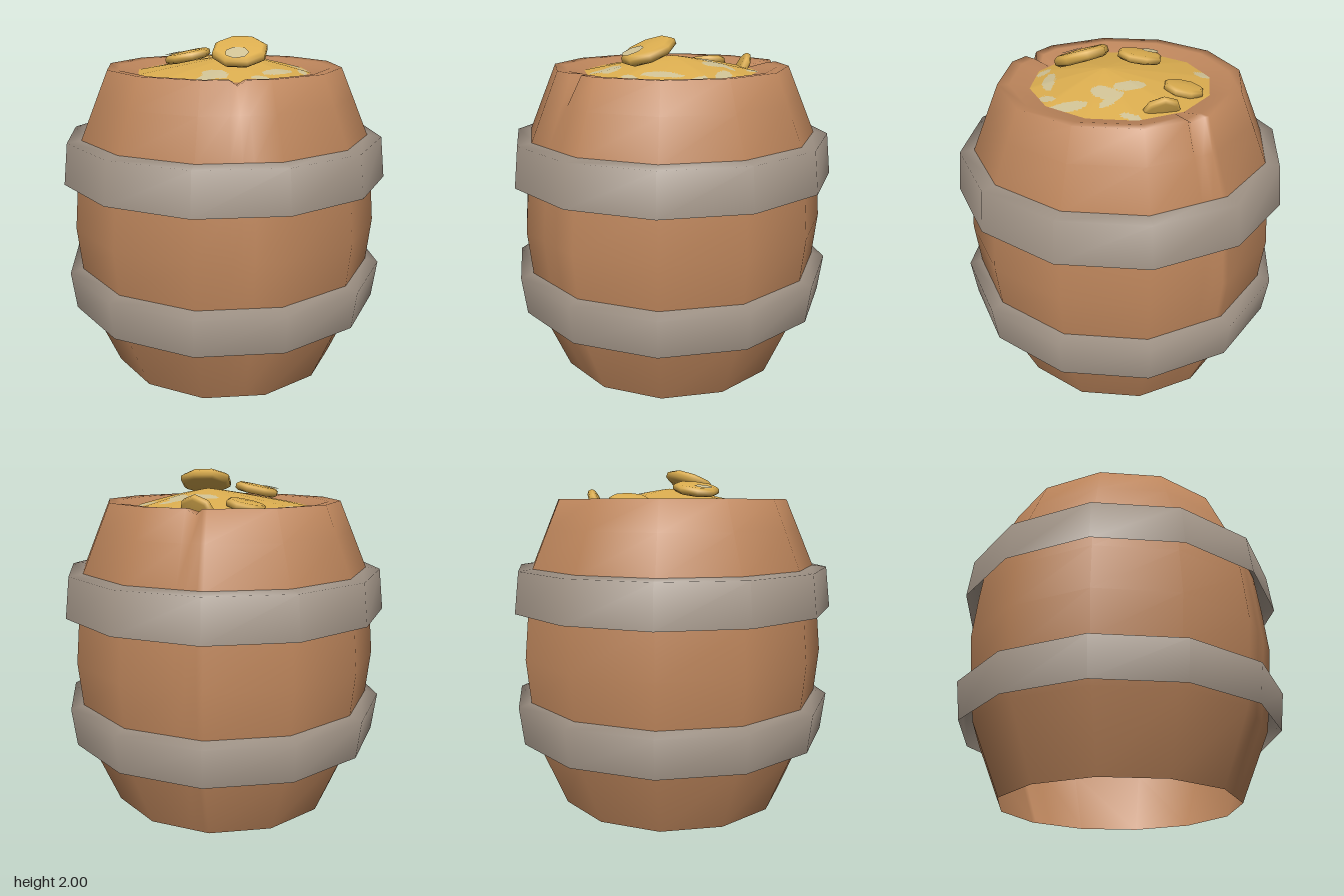
import * as THREE from 'three';

const mat = (name, color, side = THREE.FrontSide) =>
  Object.assign(new THREE.MeshStandardMaterial({ color, side }), { name });
const DEG = Math.PI / 180;

// Radius factor that turns a circle into a 12-sided outline with corners at 15, 45, 75... degrees
const polygon = (a) => Math.cos(15 * DEG) / Math.cos((((a + 15) % 30) - 15) * DEG);

// Sweeps a profile of [radius, y] points around y through the given angles (degrees)
function loft(profile, angles, adjust = (j, a, p) => p, pick = null) {
  const pos = [], first = [], second = [], n = angles.length;
  profile.forEach((p, j) => angles.forEach((a) => {
    const [r, y] = adjust(j, a, p);
    const R = r * polygon(a);
    pos.push(R * Math.cos(a * DEG), y, R * Math.sin(a * DEG));
  }));
  const tri = (...ids) => {
    const x = ids.reduce((s, i) => s + pos[i * 3] / 3, 0);
    const z = ids.reduce((s, i) => s + pos[i * 3 + 2] / 3, 0);
    (pick && pick(x, z) ? second : first).push(...ids);
  };
  for (let j = 0; j < profile.length - 1; j++) for (let i = 0; i < n; i++) {
    const k = (i + 1) % n, a = j * n + i, b = j * n + k;
    tri(a, a + n, b);
    if (profile[j + 1][0] > 0) tri(b, a + n, b + n);
  }
  const g = new THREE.BufferGeometry();
  g.setAttribute('position', new THREE.Float32BufferAttribute(pos, 3));
  g.setIndex([...first, ...second]);
  if (pick) {
    g.addGroup(0, first.length, 0);
    g.addGroup(first.length, second.length, 1);
  }
  g.computeVertexNormals();
  return g;
}

export function createModel() {
  const group = new THREE.Group();
  const wood = mat('wood', 0xbe865c, THREE.DoubleSide);
  const iron = mat('iron', 0x9f9285, THREE.DoubleSide);
  const gold = mat('gold', 0xdbad4f);
  const pale = mat('paleGold', 0xcfc194);
  const add = (name, geometry, material, parent = group) => {
    const mesh = new THREE.Mesh(geometry, material);
    mesh.name = name;
    parent.add(mesh);
    return mesh;
  };
  const corners = Array.from({ length: 12 }, (_, i) => 15 + 30 * i);

  // Barrel wall and rim, open underneath, with two small dents in the rim
  const dents = [29, 231];
  const wallAngles = [...corners, ...dents.flatMap((c) => [c - 4, c, c + 4])].sort((a, b) => a - b);
  const wall = [[0.694, 0], [0.865, 0.405], [0.895, 0.655], [0.92, 0.91], [0.895, 1.18],
    [0.865, 1.42], [0.767, 1.65], [0.694, 1.82], [0.63, 1.815], [0.517, 1.785]];
  add('barrelWall', loft(wall, wallAngles, (j, a, p) => {
    if (dents.includes(a) && j === 7) return [0.655, 1.785];
    if (dents.includes(a) && j === 8) return [0.61, 1.785];
    return p;
  }), wood);

  // Two flared iron hoops, open underneath, their tops running into the wall
  const hoops = {
    lowerHoop: [[0.943, 0.405], [0.971, 0.63], [0.87, 0.658]],
    upperHoop: [[0.971, 1.18], [0.943, 1.42], [0.84, 1.433]],
  };
  for (const [name, profile] of Object.entries(hoops)) add(name, loft(profile, corners), iron);

  // Mound of treasure with pale patches: x, z, half length, half width, turn in degrees
  const patches = [
    [-0.12, -0.17, 0.09, 0.045, -30], [0.01, -0.26, 0.08, 0.06, 20], [-0.02, -0.32, 0.1, 0.03, -50],
    [0.24, -0.39, 0.13, 0.045, -12], [0.16, -0.37, 0.04, 0.03, 40], [0.36, -0.29, 0.06, 0.03, 20],
    [0.37, -0.08, 0.12, 0.045, 85], [0.45, 0.08, 0.06, 0.035, -50], [0.26, 0.27, 0.09, 0.055, -10],
    [0.28, 0.32, 0.07, 0.05, 70], [-0.46, 0.15, 0.05, 0.035, 60], [-0.1, -0.47, 0.05, 0.03, 20],
  ];
  const isPale = (x, z) => patches.some(([px, pz, l, w, t]) => {
    const c = Math.cos(t * DEG), s = Math.sin(t * DEG), dx = x - px, dz = z - pz;
    return ((dx * c + dz * s) / l) ** 2 + ((dz * c - dx * s) / w) ** 2 < 1;
  });
  const rings = 36, edgeY = 1.785, rise = 0.1;
  const moundProfile = Array.from({ length: rings + 1 }, (_, j) => {
    const t = 1 - j / rings;
    return [0.518 * t, edgeY + rise * (1 - t ** 1.2)];
  });
  const fine = Array.from({ length: 144 }, (_, i) => i * 2.5);
  const mound = loft(moundProfile, fine, undefined, isPale);
  // Shift the peak off centre while keeping the edge in place
  const mp = mound.attributes.position;
  for (let i = 0; i < mp.count; i++) {
    const lift = (mp.getY(i) - edgeY) / rise;
    mp.setXYZ(i, mp.getX(i) + 0.09 * lift, mp.getY(i), mp.getZ(i) - 0.04 * lift);
  }
  mound.computeVertexNormals();
  add('treasureMound', mound, [gold, pale]);

  // Eight-sided rounded coins resting on the mound
  const coins = [
    { at: [0.23, 1.92, 0.05], r: 0.16, t: 0.075, up: [0.3, 1, 0.27], spot: [0.06, 0.065, 0.068] },
    { at: [-0.09, 1.878, 0.19], r: 0.135, t: 0.06, up: [-0.14, 1, 0.16], spot: [-0.055, 0.06, 0.052] },
    { at: [-0.355, 1.81, -0.12], r: 0.115, t: 0.06, up: [-0.18, 1, 0.12] },
    { at: [-0.245, 1.775, -0.365], r: 0.11, t: 0.06, up: [0.32, 0.45, 0.85] },
  ];
  coins.forEach(({ at, r, t, up, spot }, i) => {
    const coin = new THREE.Group();
    coin.name = 'coin' + (i + 1);
    const profile = [[0, -t / 2], [r * 0.85, -t * 0.42], [r, -t * 0.2], [r, t * 0.2], [r * 0.85, t * 0.42], [0, t / 2]];
    const points = profile.map((p) => new THREE.Vector2(...p));
    add('coinBody', new THREE.LatheGeometry(points, 8, Math.PI / 8), gold, coin);
    if (spot) {
      const s = add('coinPatch', new THREE.CircleGeometry(spot[2], 7).rotateX(-Math.PI / 2), pale, coin);
      s.position.set(spot[0], t / 2 + 0.002, spot[1]);
    }
    coin.position.set(...at);
    coin.quaternion.setFromUnitVectors(new THREE.Vector3(0, 1, 0), new THREE.Vector3(...up).normalize());
    group.add(coin);
  });
  return group;
}
